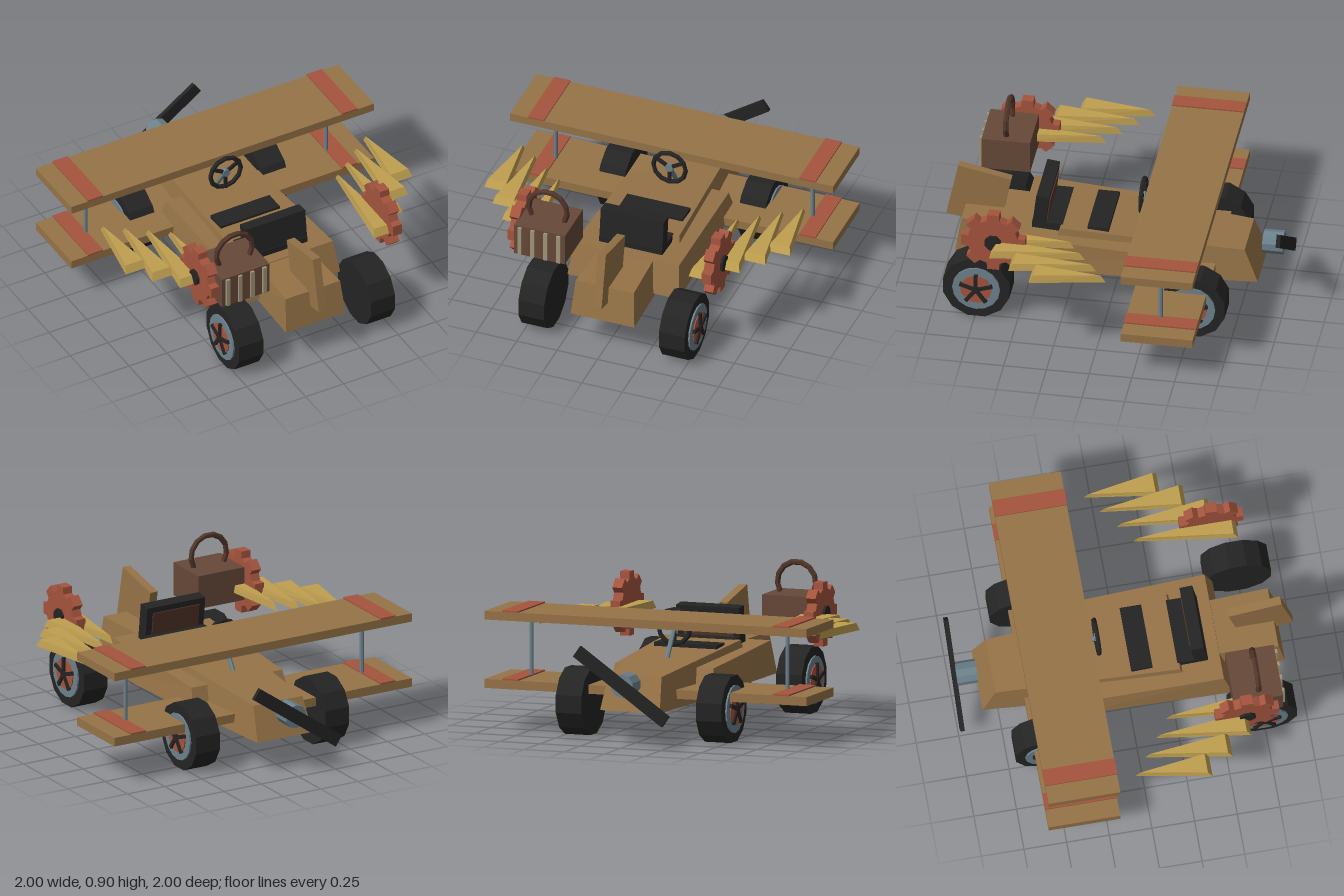
import * as THREE from 'three';

const paint = (name, color) => {
  const m = new THREE.MeshStandardMaterial({ color, flatShading: true });
  m.name = name;
  return m;
};

export function createModel() {
  const model = new THREE.Group();
  const wood = paint('wood', 0x967347);
  const black = paint('black rubber', 0x242424);
  const steel = paint('steel', 0x6c818c);
  const rust = paint('rust red', 0xa4543d);
  const gold = paint('gold', 0xbf9f50);
  const canBrown = paint('can brown', 0x664838);
  const darkBrown = paint('dark brown', 0x513529);
  const tan = paint('tan', 0xa09677);

  const add = (name, geo, mat, pos = [0, 0, 0], rot = [0, 0, 0], parent = model) => {
    const m = new THREE.Mesh(geo, mat);
    m.name = name;
    m.position.set(...pos);
    m.rotation.set(...rot);
    parent.add(m);
    return m;
  };
  const box = (x, y, z) => new THREE.BoxGeometry(x, y, z);
  const cyl = (r, h, n) => new THREE.CylinderGeometry(r, r, h, n);
  // Cylinder lying along x, with a flat or a corner up
  const axle = (r, h, n, turn = 0) => cyl(r, h, n).rotateY(turn).rotateZ(Math.PI / 2);

  // Solid between a bottom and a top outline, both anticlockwise from above
  const loft = (bottom, top) => {
    const p = [];
    const n = bottom.length;
    const tri = (a, b, c) => p.push(...a, ...b, ...c);
    for (let i = 0; i < n; i++) {
      const j = (i + 1) % n;
      tri(bottom[i], bottom[j], top[j]);
      tri(bottom[i], top[j], top[i]);
    }
    for (let i = 1; i < n - 1; i++) {
      tri(top[0], top[i], top[i + 1]);
      tri(bottom[0], bottom[i + 1], bottom[i]);
    }
    const g = new THREE.BufferGeometry();
    g.setAttribute('position', new THREE.Float32BufferAttribute(p, 3));
    g.computeVertexNormals();
    return g;
  };
  // Outline from two ends, each [half width, y, z]
  const ends = ([w0, y0, z0], [w1, y1, z1]) =>
    [[-w0, y0, z0], [-w1, y1, z1], [w1, y1, z1], [w0, y0, z0]];

  // Body
  add('fuselage', loft(
    ends([0.185, 0.2, -0.85], [0.275, 0.2, 0.38]),
    ends([0.165, 0.4, -0.77], [0.235, 0.477, 0.3])), wood);
  add('cockpitBody', loft(
    ends([0.325, 0.25, -0.36], [0.345, 0.25, 0.59]),
    ends([0.305, 0.395, -0.31], [0.325, 0.447, 0.54])), wood);
  add('tailBody', loft(
    ends([0.185, 0.23, 0.4], [0.197, 0.23, 0.92]),
    ends([0.16, 0.44, 0.42], [0.18, 0.445, 0.885])), wood);
  add('tailFin', box(0.05, 0.342, 0.317), wood, [0, 0.505, 0.81], [-0.206, 0, 0]);

  // Seat and dash
  add('dash', box(0.39, 0.045, 0.125), black, [0, 0.457, 0.083]);
  add('seatBase', box(0.39, 0.08, 0.18), black, [0, 0.44, 0.38]);
  const seatBack = new THREE.Group();
  seatBack.name = 'seatBack';
  seatBack.position.set(0, 0.55, 0.42);
  seatBack.rotation.x = -0.12;
  model.add(seatBack);
  add('seatFrame', box(0.39, 0.21, 0.075), black, [0, 0, 0], [0, 0, 0], seatBack);
  add('seatPad', box(0.31, 0.14, 0.008), darkBrown, [0, 0, -0.04], [0, 0, 0], seatBack);

  // Steering wheel
  add('steeringRim', new THREE.TorusGeometry(0.1, 0.014, 6, 12), black, [0, 0.603, -0.15]);
  for (let i = 0; i < 3; i++) {
    const a = Math.PI / 6 + i * Math.PI * 2 / 3;
    add('steeringSpoke', box(0.1, 0.02, 0.014), black,
      [Math.cos(a) * 0.05, 0.603 + Math.sin(a) * 0.05, -0.15], [0, 0, a]);
  }
  add('steeringHub', cyl(0.025, 0.025, 8), steel, [0, 0.603, -0.15], [Math.PI / 2, 0, 0]);
  add('steeringColumn', cyl(0.014, 0.21, 6), steel, [0, 0.515, -0.21], [0.6, 0, 0]);

  // Wings with painted bands and struts
  add('upperWing', box(2, 0.05, 0.42), wood, [0, 0.677, -0.395]);
  add('lowerWing', box(2, 0.052, 0.42), wood, [0, 0.279, -0.395]);
  for (const s of [-1, 1]) {
    for (const y of [0.706, 0.309]) add('wingBand', box(0.1, 0.009, 0.424), rust, [s * 0.84, y, -0.395]);
    add('wingStrut', cyl(0.013, 0.33, 8), steel, [s * 0.795, 0.475, -0.385]);
  }

  // Propeller
  add('propellerHub', cyl(0.07, 0.12, 10), steel, [0, 0.365, -0.915], [Math.PI / 2, 0, 0]);
  add('propellerBlade', box(0.67, 0.075, 0.025), black, [0, 0.365, -0.985], [0, 0, 0.61]);

  // Wheels
  const wheel = (s, z) => {
    const g = new THREE.Group();
    g.name = 'wheel';
    g.position.set(s * 0.435, 0.2, z);
    if (s < 0) g.rotation.y = Math.PI;
    model.add(g);
    const part = (name, geo, mat, x) => add(name, geo, mat, [x, 0, 0], [0, 0, 0], g);
    part('tyre', axle(0.2, 0.16, 12, Math.PI / 12), black, 0);
    part('rim', axle(0.14, 0.02, 16), steel, 0.08);
    part('hubDisc', axle(0.092, 0.02, 14), rust, 0.086);
    part('hubCap', axle(0.022, 0.03, 8), black, 0.095);
    for (let i = 0; i < 5; i++) {
      const spoke = box(0.018, 0.1, 0.022).translate(0, 0.05, 0).rotateX(i * Math.PI * 0.4);
      part('spoke', spoke, black, 0.098);
    }
  };
  for (const s of [-1, 1]) for (const z of [0.742, -0.518]) wheel(s, z);

  // Gears
  const outline = [];
  for (let i = 0; i < 8; i++) {
    for (const [r, d] of [[0.15, -0.25], [0.19, -0.18], [0.19, 0.18], [0.15, 0.25]]) {
      const a = i * Math.PI / 4 + d;
      outline.push(new THREE.Vector2(Math.cos(a) * r, Math.sin(a) * r));
    }
  }
  const gear = new THREE.ExtrudeGeometry(new THREE.Shape(outline), { depth: 0.06, bevelEnabled: false })
    .translate(0, 0, -0.03).rotateY(Math.PI / 2);

  // Spikes: tip x, tip z, base x, base z
  const spikes = [
    [0.868, -0.075, 0.876, 0.365], [0.765, 0.0, 0.775, 0.5],
    [0.658, 0.083, 0.665, 0.63], [0.553, 0.16, 0.543, 0.765]];
  for (const s of [-1, 1]) {
    add('gear', gear, rust, [s * 0.6, 0.605, 0.625]);
    add('gearHub', axle(0.05, 0.05, 8, Math.PI / 8), black, [s * 0.62, 0.605, 0.625]);
    for (const [tx, tz, bx, bz] of spikes) {
      const layer = (y, half, tip, back) =>
        [[s * tx, y, tz + tip], [s * bx - half, y, bz - back], [s * bx + half, y, bz - back]];
      add('spike', loft(layer(0.563, 0.07, 0, 0), layer(0.608, 0.058, 0.03, 0.025)), gold);
    }
  }

  // Canister with ribs and a carrying handle
  add('canister', box(0.315, 0.2, 0.285), canBrown, [-0.42, 0.608, 0.7]);
  for (const x of [-0.54, -0.46, -0.38, -0.3]) {
    add('canisterRib', box(0.024, 0.185, 0.018), tan, [x, 0.608, 0.848]);
  }
  const arc = Math.PI * 1.36;
  add('canisterHandle', new THREE.TorusGeometry(0.119, 0.017, 6, 9, arc), darkBrown,
    [-0.42, 0.77, 0.707], [0, 0, Math.PI / 2 - arc / 2]);

  return model;
}
